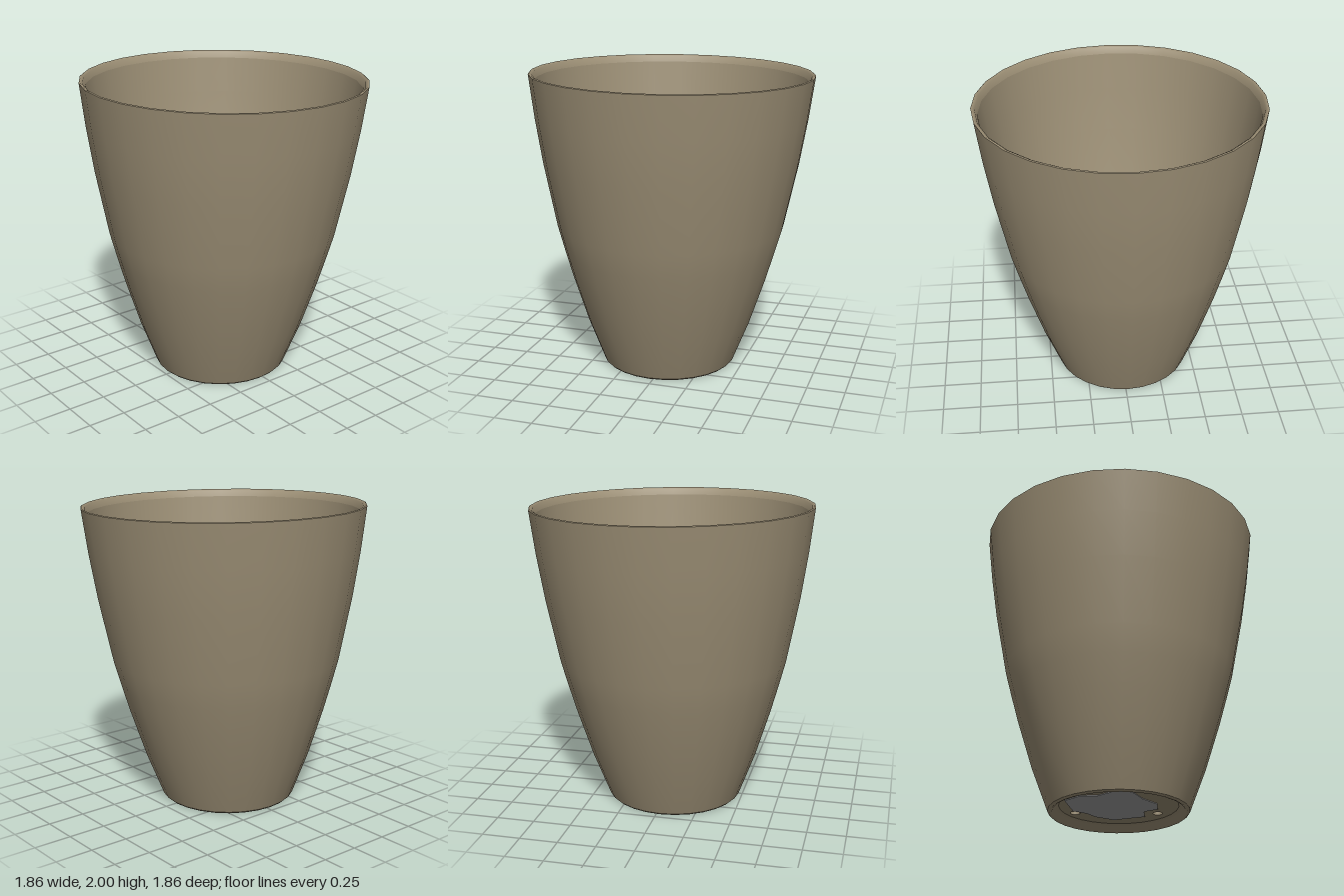
import * as THREE from 'three';

const SIDES = 28;

// The pot leans a little: the foot sits off centre and the rim slopes.
function lean(geometry) {
  const p = geometry.attributes.position;
  for (let i = 0; i < p.count; i++) {
    const x = p.getX(i), y = p.getY(i), z = p.getZ(i);
    const low = 1 - y / 2;
    p.setXYZ(i, x - 0.025 * low, y - (y / 2) * (0.011 * x + 0.004 * z), z - 0.015 * low);
  }
  return geometry;
}

export function createModel() {
  const model = new THREE.Group();
  model.name = 'plantPot';

  const clay = new THREE.MeshStandardMaterial({ color: 0x9d9076 });
  clay.name = 'clay brown';
  const grey = new THREE.MeshStandardMaterial({ color: 0xa0a0a0 });
  grey.name = 'grey';

  const add = (name, geometry, material) => {
    const mesh = new THREE.Mesh(lean(geometry), material);
    mesh.name = name;
    model.add(mesh);
  };
  const ring = (name, points) => add(name,
    new THREE.LatheGeometry(points.map(([r, y]) => new THREE.Vector2(r, y)), SIDES), clay);

  // Walls, as separate rings so the edges between them stay crisp
  ring('footRing', [[0.38, 0.052], [0.405, 0.035], [0.425, 0.006], [0.44, 0], [0.453, 0.012]]);
  ring('outerWall', [[0.453, 0.012], [0.563, 0.3], [0.665, 0.62], [0.716, 0.8],
    [0.762, 0.97], [0.848, 1.4], [0.896, 1.7], [0.932, 1.985]]);
  ring('rim', [[0.932, 1.985], [0.925, 1.99], [0.908, 1.98], [0.893, 1.94]]);
  ring('innerWall', [[0.893, 1.94], [0.856, 1.7], [0.807, 1.4], [0.719, 0.97],
    [0.672, 0.8], [0.618, 0.62], [0.522, 0.32], [0.472, 0.16], [0.448, 0.11],
    [0.42, 0.102], [0.38, 0.1005]]);

  // Floor with three drain holes
  const floorShape = new THREE.Shape().absarc(0, 0, 0.45, 0, Math.PI * 2);
  const holes = [[-0.3, -0.085], [0.215, -0.235], [0.085, 0.285]];
  for (const [x, z] of holes) {
    floorShape.holes.push(new THREE.Path().absarc(x, z, 0.032, 0, Math.PI * 2, true));
  }
  const floor = new THREE.ExtrudeGeometry(floorShape, { depth: 0.05, bevelEnabled: false, curveSegments: 14 });
  floor.rotateX(Math.PI / 2).translate(0, 0.1, 0);
  add('floor', floor, clay);

  // Ragged grey patch on the underside, kept clear of the holes
  const outline = [[-0.3, 0.07], [-0.23, 0.28], [-0.1, 0.31], [0, 0.26], [0.17, 0.29],
    [0.22, 0.2], [0.21, 0.07], [0.24, -0.07], [0.19, -0.17], [0.09, -0.17],
    [0.04, -0.27], [-0.17, -0.23], [-0.24, -0.11], [-0.25, -0.02]];
  const patchShape = new THREE.Shape(outline.map(([u, v]) =>
    new THREE.Vector2(-u - v, u - v).multiplyScalar(Math.SQRT1_2)));
  const patch = new THREE.ExtrudeGeometry(patchShape, { depth: 0.005, bevelEnabled: false });
  patch.rotateX(Math.PI / 2).translate(0, 0.05, 0);
  add('undersidePatch', patch, grey);

  return model;
}
